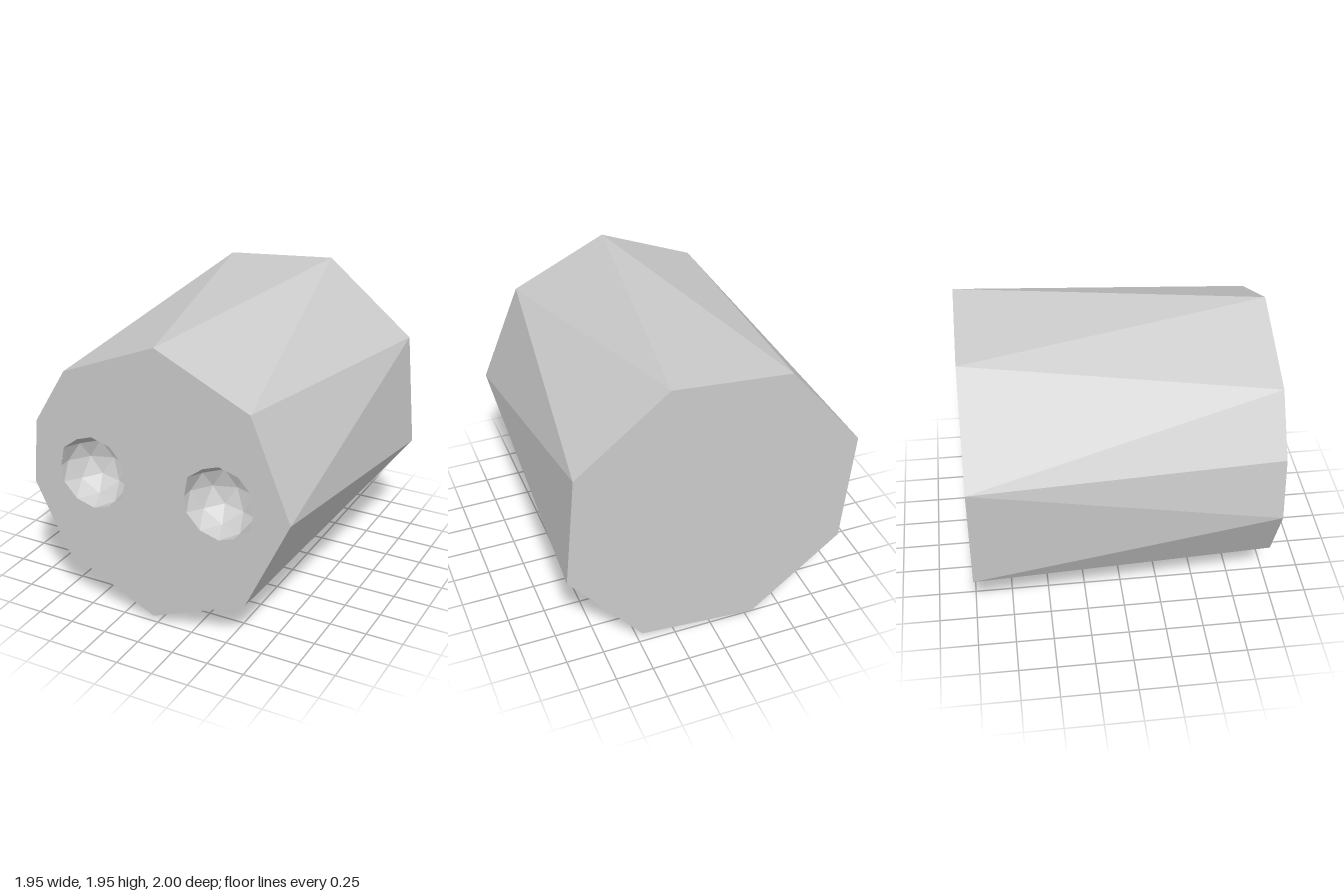
import * as THREE from 'three';

// Corner rings as [x, y], clockwise seen from the front
const FRONT = [[0.02, 1.91], [0.66, 1.61], [0.93, 0.95], [0.63, 0.31], [-0.03, 0.04],
  [-0.67, 0.35], [-0.9, 0.82], [-0.86, 1.26], [-0.63, 1.64]];
const BACK = [[0.29, 1.95], [0.9, 1.46], [0.97, 0.68], [0.48, 0.07],
  [-0.3, 0], [-0.91, 0.49], [-0.98, 1.27], [-0.49, 1.88]];
// For each front corner, the last back corner it joins
const JOINS = [0, 1, 2, 3, 4, 5, 6, 6, 7];

const RADIUS = 0.25, HOLE_X = 0.45, HOLE_Y = 0.98;
// Half of the socket rim; the other half is its point reflection
const HALF_RIM = [[0, 1], [-0.425, 0.851], [-0.851, 0.526], [-0.951, 0], [-0.894, -0.447], [-0.526, -0.851]];
const RIM = [...HALF_RIM, ...HALF_RIM.map(([x, y]) => [-x, -y])];

function fromPoints(points) {
  const geometry = new THREE.BufferGeometry().setFromPoints(points);
  geometry.computeVertexNormals();
  return geometry;
}

// Twisted side facets
function sidesGeometry() {
  const f = FRONT.map(([x, y]) => new THREE.Vector3(x, y, 1));
  const b = BACK.map(([x, y]) => new THREE.Vector3(x, y, -1));
  const points = [];
  f.forEach((corner, i) => {
    const start = JOINS[(i + f.length - 1) % f.length], end = JOINS[i];
    if (start !== end) points.push(corner, b[end], b[start]);
    points.push(corner, f[(i + 1) % f.length], b[end]);
  });
  return fromPoints(points);
}

// Flat back cap
function backGeometry() {
  const b = BACK.map(([x, y]) => new THREE.Vector3(x, y, -1));
  const points = [];
  for (let i = 1; i < b.length - 1; i++) points.push(b[0], b[i], b[i + 1]);
  return fromPoints(points);
}

// Flat front with two socket openings
function frontGeometry() {
  const shape = new THREE.Shape(FRONT.map(([x, y]) => new THREE.Vector2(x, y)));
  for (const side of [-1, 1]) {
    shape.holes.push(new THREE.Path(RIM.map(([x, y]) =>
      new THREE.Vector2(side * HOLE_X + x * RADIUS, HOLE_Y + y * RADIUS))));
  }
  return new THREE.ShapeGeometry(shape).translate(0, 0, 1);
}

// Faceted half sphere, seen from inside: clipped at z = 0 with faces turned inward
function socketGeometry() {
  const ball = new THREE.IcosahedronGeometry(RADIUS, 1);
  ball.rotateZ(-Math.atan(2 / (1 + Math.sqrt(5))));
  const position = ball.getAttribute('position');
  const points = [];
  for (let i = 0; i < position.count; i += 3) {
    const tri = [0, 2, 1].map((k) => new THREE.Vector3().fromBufferAttribute(position, i + k));
    if (tri.every((p) => p.z > -1e-4)) continue;
    tri.forEach((p) => { p.z = Math.min(p.z, 0); });
    points.push(...tri);
  }
  return fromPoints(points);
}

export function createModel() {
  const model = new THREE.Group();
  model.name = 'facetedBlock';
  const grey = new THREE.MeshStandardMaterial({ color: 0xcccccc });
  grey.name = 'light grey';

  const add = (name, geometry) => {
    const mesh = new THREE.Mesh(geometry, grey);
    mesh.name = name;
    model.add(mesh);
    return mesh;
  };
  add('bodySides', sidesGeometry());
  add('backFace', backGeometry());
  add('frontFace', frontGeometry());
  const socket = socketGeometry();
  add('leftSocket', socket).position.set(HOLE_X, HOLE_Y, 1);
  add('rightSocket', socket).position.set(-HOLE_X, HOLE_Y, 1);
  return model;
}
